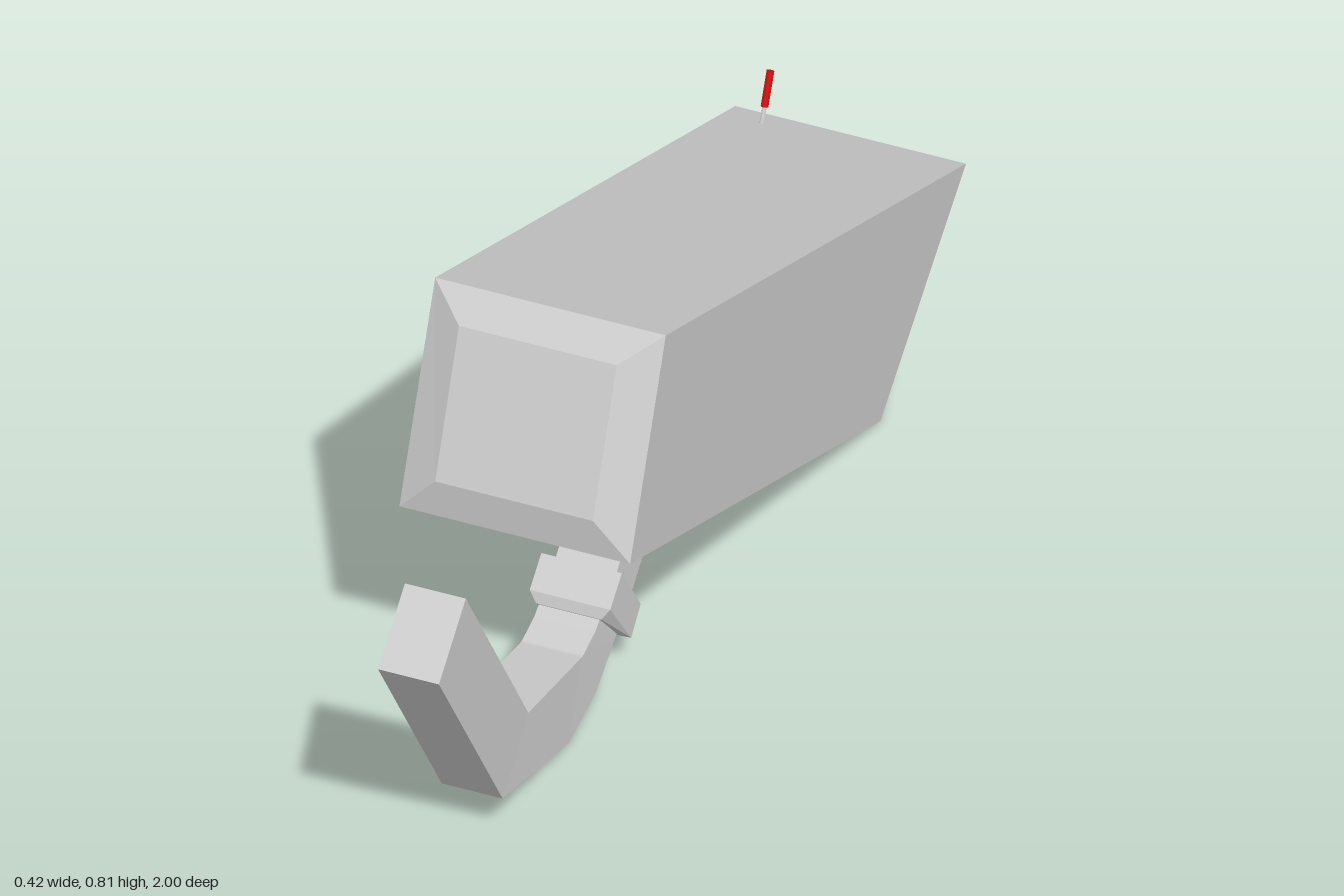
import * as THREE from 'three';

// Loft of rectangular sections [zTop, yTop, zBottom, yBottom, halfWidth], running towards +z.
// centre(z, isTop) gives the sideways position of each edge.
function loft(name, sections, centre = () => 0) {
  const pos = [], index = [];
  for (const [zt, yt, zb, yb, h] of sections) {
    const t = centre(zt, true), b = centre(zb, false);
    pos.push(t + h, yt, zt, t - h, yt, zt, b - h, yb, zb, b + h, yb, zb);
  }
  for (let s = 0; s < sections.length - 1; s++) {
    for (let i = 0; i < 4; i++) {
      const a = s * 4 + i, b = s * 4 + (i + 1) % 4;
      index.push(a, b, b + 4, a, b + 4, a + 4);
    }
  }
  const e = (sections.length - 1) * 4;
  index.push(0, 2, 1, 0, 3, 2, e, e + 1, e + 2, e, e + 2, e + 3);
  let geo = new THREE.BufferGeometry();
  geo.setAttribute('position', new THREE.Float32BufferAttribute(pos, 3));
  geo.setIndex(index);
  geo = geo.toNonIndexed();
  geo.computeVertexNormals();
  const mesh = new THREE.Mesh(geo, new THREE.MeshStandardMaterial({ color: 0xcccccc, flatShading: true }));
  mesh.name = name;
  return mesh;
}

// Thin rod between two points
function rod(name, from, to, radius, color) {
  const a = new THREE.Vector3(...from), b = new THREE.Vector3(...to);
  const dir = b.clone().sub(a);
  const mesh = new THREE.Mesh(
    new THREE.CylinderGeometry(radius, radius, dir.length(), 8),
    new THREE.MeshStandardMaterial({ color, flatShading: true }));
  mesh.position.copy(a).add(b).multiplyScalar(0.5);
  mesh.quaternion.setFromUnitVectors(new THREE.Vector3(0, 1, 0), dir.normalize());
  mesh.name = name;
  return mesh;
}

export function createModel() {
  const model = new THREE.Group();
  model.name = 'securityCamera';

  // Tilted housing: recessed lens window, rim, long walls, bevelled end panel
  model.add(loft('housing', [
    [-0.892, 0.309, -0.575, 0.063, 0.185],
    [-0.985, 0.272, -0.668, 0.026, 0.185],
    [-0.997, 0.284, -0.655, 0.014, 0.2],
    [-1.0, 0.3, -0.63, 0.01, 0.212],
    [0.3, 0.815, 0.455, 0.44, 0.212],
    [0.355, 0.77, 0.458, 0.513, 0.145],
  ]));

  // Bracket is slightly yawed and rolled
  const lean = (z, isTop) => 0.022 + 0.014 * z - (isTop ? 0.006 : 0);

  // Hooked arm, from the collar to the wall end
  model.add(loft('bracketArm', [
    [0.235, 0.175, 0.185, 0.1, 0.056],
    [0.285, 0.145, 0.215, 0.08, 0.056],
    [0.34, 0.132, 0.295, 0.028, 0.056],
    [0.345, 0.132, 0.42, 0.004, 0.056],
    [0.585, 0.178, 0.715, 0.088, 0.056],
    [0.865, 0.607, 1.0, 0.52, 0.056],
  ], lean));

  // Collar with sloping shoulder
  model.add(loft('collar', [
    [0.21, 0.222, 0.14, 0.112, 0.074],
    [0.262, 0.18, 0.183, 0.07, 0.074],
    [0.268, 0.16, 0.197, 0.08, 0.06],
  ], lean));

  // Short post entering the underside of the housing
  model.add(loft('mountPost', [
    [0.05, 0.325, -0.03, 0.272, 0.056],
    [0.205, 0.19, 0.145, 0.122, 0.056],
  ], lean));

  // Antenna with red tip
  const antenna = new THREE.Group();
  antenna.name = 'antenna';
  antenna.add(rod('antennaStem', [-0.14, 0.31, -0.94], [-0.14, 0.35, -0.958], 0.004, 0xcccccc));
  antenna.add(rod('antennaTip', [-0.14, 0.348, -0.957], [-0.14, 0.406, -0.983], 0.007, 0xcc1111));
  model.add(antenna);

  return model;
}
